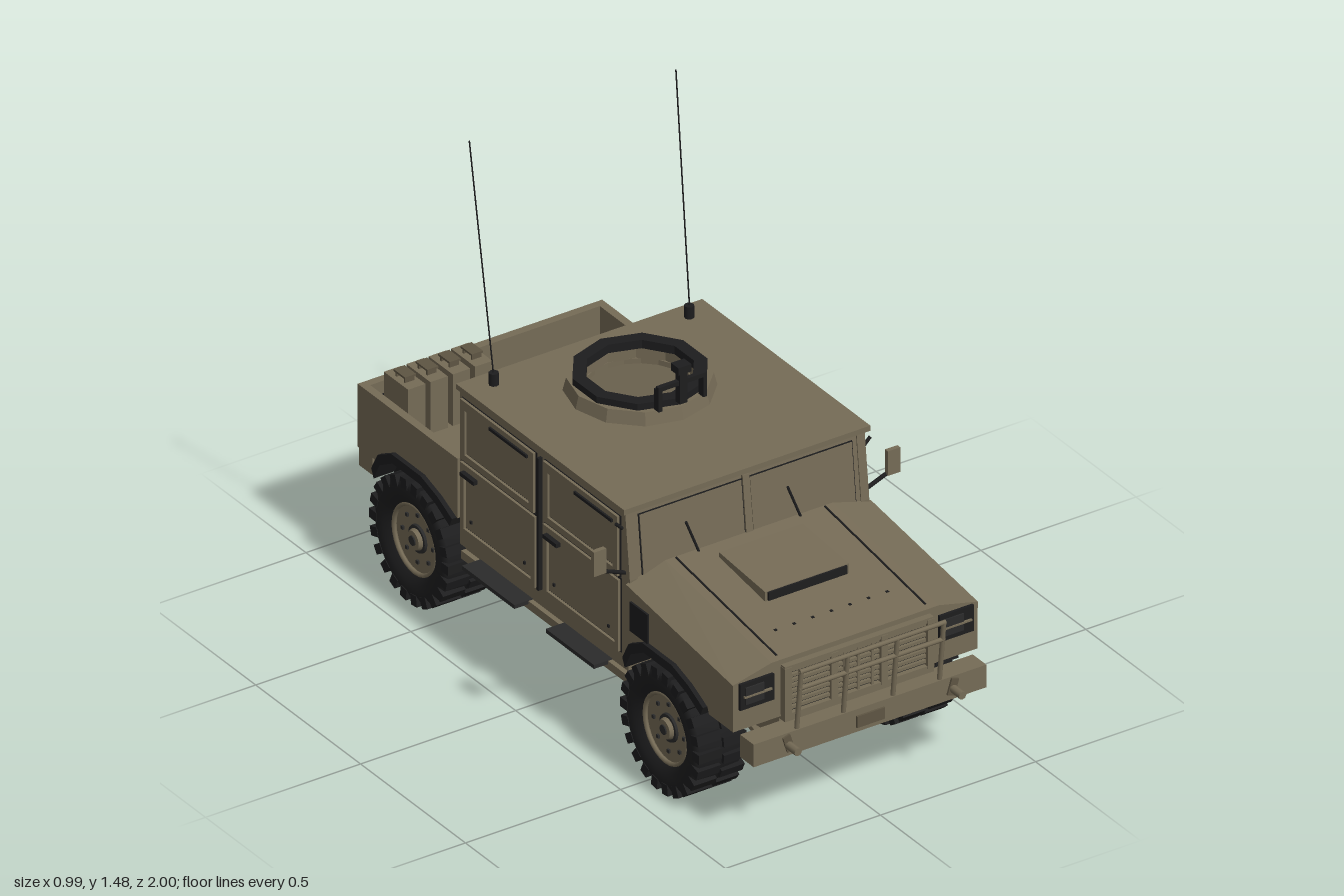
import * as THREE from 'three';

const mat = (name, color) => Object.assign(new THREE.MeshStandardMaterial({ color, side: THREE.DoubleSide }), { name });
const tan = mat('drab paint', 0x756b56);
const shade = mat('dark drab', 0x5e5543);
const black = mat('black rubber', 0x1d1d1e);
const grey = mat('dark metal', 0x2b2b2b);

export function createModel() {
  const root = new THREE.Group();
  root.name = 'truck';

  const add = (name, geo, m, parent = root) => {
    const mesh = new THREE.Mesh(geo, m);
    mesh.name = name;
    parent.add(mesh);
    return mesh;
  };
  // box given by its min/max on each axis
  const box = (name, m, x0, x1, y0, y1, z0, z1, parent) => {
    const g = new THREE.BoxGeometry(x1 - x0, y1 - y0, z1 - z0);
    g.translate((x0 + x1) / 2, (y0 + y1) / 2, (z0 + z1) / 2);
    return add(name, g, m, parent);
  };
  // the same box on both sides
  const pair = (name, m, x0, x1, ...r) => {
    box(name, m, x0, x1, ...r);
    box(name, m, -x1, -x0, ...r);
  };
  // round bar between two points
  const rod = (name, m, a, b, r, parent, n = 8) => {
    const p = new THREE.Vector3(...a), q = new THREE.Vector3(...b);
    const mesh = add(name, new THREE.CylinderGeometry(r, r, p.distanceTo(q), n), m, parent);
    mesh.position.copy(p).lerp(q, 0.5);
    mesh.quaternion.setFromUnitVectors(new THREE.Vector3(0, 1, 0), q.sub(p).normalize());
    return mesh;
  };
  const rectPath = (z0, z1, y0, y1) => [[z0, y0], [z1, y0], [z1, y1], [z0, y1]].map(p => new THREE.Vector2(...p));
  // (z, y) outline extruded from x0 to x1, made for both sides
  const sidePlate = (name, m, x0, x1, pts, holes = []) => {
    const shape = new THREE.Shape(pts.map(p => (p.isVector2 ? p : new THREE.Vector2(...p))));
    holes.forEach(h => shape.holes.push(new THREE.Path(h)));
    for (const x of [x1, -x0]) {
      const g = new THREE.ExtrudeGeometry(shape, { depth: x1 - x0, bevelEnabled: false });
      g.rotateY(-Math.PI / 2).translate(x, 0, 0);
      add(name, g, m);
    }
  };
  // solid lofted between two cross-sections [x, y] at different z
  const loft = (name, m, back, zb, front, zf) => {
    const n = back.length, v = [], idx = [];
    back.forEach(p => v.push(p[0], p[1], zb));
    front.forEach(p => v.push(p[0], p[1], zf));
    for (let i = 0; i < n; i++) {
      const j = (i + 1) % n;
      idx.push(i, j, n + j, i, n + j, n + i);
      if (i > 0 && i < n - 1) idx.push(0, i + 1, i, n, n + i, n + i + 1);
    }
    const g = new THREE.BufferGeometry();
    g.setAttribute('position', new THREE.Float32BufferAttribute(v, 3));
    g.setIndex(idx);
    const flat = g.toNonIndexed();
    flat.computeVertexNormals();
    return add(name, flat, m);
  };

  // ---- chassis ----
  box('floor', tan, -0.37, 0.37, 0.24, 0.32, -0.43, 0.37);
  box('frontUnderbody', tan, -0.24, 0.24, 0.24, 0.48, 0.37, 0.87);
  box('rearUnderbody', tan, -0.24, 0.24, 0.25, 0.36, -0.88, -0.43);
  pair('frameRail', shade, 0.17, 0.22, 0.215, 0.25, -0.88, 0.88);
  box('gearboxHousing', tan, -0.04, 0.04, 0.185, 0.25, 0.4, 0.7);
  pair('sill', tan, 0.33, 0.385, 0.225, 0.25, -0.43, 0.37);
  for (const [a, b] of [[0.04, 0.27], [-0.36, -0.11]]) pair('step', grey, 0.34, 0.43, 0.24, 0.252, a, b);

  // ---- nose ----
  const hoodSection = (edge, top) => [[-0.395, edge - 0.02], [0.395, edge - 0.02], [0.395, edge], [0.27, top], [-0.27, top], [-0.395, edge]];
  loft('hood', tan, hoodSection(0.54, 0.577), 0.37, hoodSection(0.475, 0.505), 0.88);
  const arch = [[0.19, 0.35], [0.12, 0.385], [0.04, 0.41], [-0.1, 0.41], [-0.165, 0.375], [-0.195, 0.32]];
  const archAt = c => arch.map(p => [p[0] + c, p[1]]);
  sidePlate('frontFender', tan, 0.24, 0.394, [[0.37, 0.54], [0.88, 0.475], [0.88, 0.33], [0.765, 0.33], ...archAt(0.567)]);
  for (const c of [0.567, -0.63])
    sidePlate('wheelFlare', black, 0.3, 0.408, [...archAt(c), ...archAt(c).reverse().map(([z, y]) => [z + (c - z) * 0.06, y - 0.027])]);
  pair('sideVent', black, 0.394, 0.4, 0.41, 0.5, 0.395, 0.48);
  for (const s of [-1, 1]) rod('hoodSeam', black, [s * 0.24, 0.577, 0.38], [s * 0.24, 0.508, 0.86], 0.003);
  for (let i = 0; i < 7; i++) box('hoodRivet', black, i * 0.06 - 0.184, i * 0.06 - 0.176, 0.518, 0.523, 0.762, 0.77);
  const sec = (w, a, b) => [[-w, a], [w, a], [w, b], [-w, b]];
  loft('hoodScoop', tan, sec(0.135, 0.555, 0.583), 0.43, sec(0.135, 0.52, 0.567), 0.65);
  box('scoopGrille', black, -0.127, 0.127, 0.54, 0.565, 0.648, 0.656);

  // ---- grille ----
  box('grilleBack', black, -0.22, 0.22, 0.34, 0.48, 0.87, 0.885);
  box('grilleTop', tan, -0.24, 0.24, 0.475, 0.49, 0.87, 0.9);
  box('grilleBottom', tan, -0.24, 0.24, 0.32, 0.342, 0.87, 0.9);
  for (const x of [-0.23, -0.08, 0.08, 0.23]) box('grillePost', tan, x - 0.011, x + 0.011, 0.335, 0.485, 0.87, 0.902);
  for (let i = 0; i < 8; i++) box('grilleSlat', tan, -0.225, 0.225, 0.35 + i * 0.0165, 0.359 + i * 0.0165, 0.88, 0.894);
  for (let i = -1; i < 2; i++) box('grilleRib', tan, i * 0.045 - 0.004, i * 0.045 + 0.004, 0.34, 0.48, 0.88, 0.897);
  for (const s of [-1, 1]) {
    const lamp = new THREE.Group();
    lamp.name = 'headlight';
    root.add(lamp);
    lamp.position.x = s * 0.322;
    box('lampHousing', black, -0.055, 0.055, 0.395, 0.475, 0.87, 0.889, lamp);
    box('lampLens', grey, -0.04, 0.02, 0.41, 0.462, 0.885, 0.893, lamp);
    box('lampBar', tan, -0.045, 0.045, 0.432, 0.437, 0.888, 0.896, lamp);
  }

  // ---- front bumper and brush guard ----
  box('frontBumper', tan, -0.375, 0.375, 0.25, 0.32, 0.885, 0.95);
  loft('skidPlate', tan, sec(0.24, 0.22, 0.24), 0.72, sec(0.3, 0.25, 0.26), 0.9);
  box('winch', shade, -0.045, 0.045, 0.265, 0.3, 0.95, 0.956);
  for (const x of [-0.23, -0.08, 0.08, 0.23]) rod('guardPost', tan, [x, 0.31, 0.94], [x, 0.505, 0.962], 0.007);
  for (const [y, z] of [[0.505, 0.962], [0.45, 0.956]]) rod('guardRail', tan, [-0.235, y, z], [0.235, y, z], 0.007);
  for (const s of [-1, 1]) {
    rod('towHook', tan, [s * 0.265, 0.285, 0.94], [s * 0.265, 0.285, 1], 0.012);
    const b = box('bumperBracket', shade, -0.012, 0.012, -0.025, 0.025, 0, 0.008);
    b.position.set(s * 0.265, 0.29, 0.948);
    b.rotation.z = -s * 0.3;
  }

  // ---- cab ----
  sidePlate('cabSide', tan, 0.36, 0.386, [[-0.435, 0.27], [0.37, 0.27], [0.376, 0.55], [0.353, 0.755], [-0.435, 0.755]]);
  box('cabBack', tan, -0.386, 0.386, 0.3, 0.755, -0.435, -0.41);
  box('rearWindow', shade, -0.17, 0.17, 0.6, 0.69, -0.439, -0.434);
  box('firewall', tan, -0.36, 0.36, 0.3, 0.55, 0.35, 0.37);
  for (const [a, b, win] of [[-0.025, 0.335, 0.34], [-0.42, -0.065, -0.065]]) {
    const z0 = a, z1 = b;
    sidePlate('doorGap', black, 0.386, 0.388, rectPath(z0 - 0.004, z1 + 0.004, 0.311, 0.54));
    sidePlate('doorPanel', tan, 0.386, 0.396, rectPath(z0, z1, 0.315, 0.535), [rectPath(z0 + 0.018, z1 - 0.018, 0.335, 0.515)]);
    sidePlate('doorInset', tan, 0.386, 0.391, rectPath(z0 + 0.022, z1 - 0.022, 0.339, 0.511));
    sidePlate('windowGap', black, 0.386, 0.388, rectPath(z0 - 0.002, z1, 0.542, 0.732));
    sidePlate('windowFrame', tan, 0.386, 0.396, rectPath(z0, z1 - 0.005, 0.545, 0.73), [rectPath(z0 + 0.022, z1 - 0.027, 0.565, 0.702)]);
    sidePlate('sideWindow', tan, 0.386, 0.39, rectPath(z0 + 0.024, z1 - 0.03, 0.568, 0.7));
    sidePlate('doorHandle', black, 0.396, 0.41, rectPath(z0 + 0.02, z0 + 0.085, 0.505, 0.517));
    sidePlate('rainStrip', black, 0.396, 0.402, rectPath(win - 0.21, win - 0.03, 0.705, 0.714));
    for (const z of [z0 + 0.05, z1 - 0.05]) sidePlate('doorBolt', black, 0.391, 0.396, rectPath(z - 0.004, z + 0.004, 0.365, 0.373));
  }
  sidePlate('hingePost', black, 0.386, 0.4, rectPath(-0.049, -0.04, 0.32, 0.73));

  // windshield, leaning back
  const shield = new THREE.Group();
  shield.name = 'windshield';
  shield.position.set(0, 0.535, 0.374);
  shield.rotation.x = -0.11;
  root.add(shield);
  box('shieldFrame', tan, -0.386, 0.386, 0, 0.222, -0.02, 0, shield);
  for (const s of [-1, 1]) {
    const x = s * 0.178;
    box('glassSeal', black, x - 0.167, x + 0.167, 0.012, 0.2, 0, 0.003, shield);
    box('glassPane', tan, x - 0.164, x + 0.164, 0.015, 0.197, 0, 0.005, shield);
    const wx = s * 0.165 + (s < 0 ? 0 : -0.002);
    rod('wiper', black, [wx, 0.03, 0.012], [wx - 0.037, 0.135, 0.012], 0.004, shield);
  }
  box('shieldMiddle', tan, -0.011, 0.011, 0, 0.21, -0.01, 0.008, shield);

  // roof with the round hatch opening
  const roof = new THREE.Shape([[-0.397, -0.365], [0.397, -0.365], [0.397, 0.437], [-0.397, 0.437]].map(p => new THREE.Vector2(...p)));
  roof.holes.push(new THREE.Path().absarc(0, 0.15, 0.15, 0, Math.PI * 2, true));
  add('roof', new THREE.ExtrudeGeometry(roof, { depth: 0.016, bevelEnabled: false, curveSegments: 10 }).rotateX(-Math.PI / 2).translate(0, 0.752, 0), tan);

  // ---- turret ring and mount ----
  const ring = (name, m, pts, n) => {
    const g = new THREE.LatheGeometry(pts.map(p => new THREE.Vector2(...p)), n).toNonIndexed();
    g.computeVertexNormals();
    add(name, g, m).position.set(0, 0, -0.147);
  };
  ring('turretBase', tan, [[0.155, 0.766], [0.208, 0.766], [0.198, 0.806], [0.155, 0.806], [0.155, 0.766]], 12);
  ring('turretRing', black, [[0.15, 0.8], [0.188, 0.8], [0.188, 0.826], [0.15, 0.826], [0.15, 0.8]], 10);
  box('mountPost', black, -0.012, 0.012, 0.82, 0.92, 0.04, 0.062);
  box('mountHead', black, -0.021, 0.021, 0.915, 0.938, 0.032, 0.068);
  box('mountBar', black, -0.078, 0.078, 0.877, 0.89, 0.044, 0.058);
  pair('mountLeg', black, 0.066, 0.078, 0.815, 0.88, 0.035, 0.058);

  // ---- antennas and mirrors ----
  for (const s of [-1, 1]) {
    rod('antennaBase', black, [s * 0.315, 0.765, -0.378], [s * 0.315, 0.805, -0.378], 0.014);
    rod('antenna', black, [s * 0.316, 0.8, -0.378], [s * 0.333, 1.485, -0.468], 0.0022, root, 5);
    rod('mirrorArm', black, [s * 0.385, 0.565, 0.352], [s * 0.475, 0.6, 0.352], 0.006);
    box('mirrorShell', tan, s * 0.474 - 0.02, s * 0.474 + 0.02, 0.592, 0.668, 0.35, 0.364);
    box('mirrorGlass', black, s * 0.474 - 0.017, s * 0.474 + 0.017, 0.596, 0.664, 0.346, 0.351);
    rod('mirrorBrace', black, [s * 0.39, 0.7, 0.345], [s * 0.41, 0.72, 0.345], 0.005);
  }

  // ---- cargo bed ----
  sidePlate('bedSide', tan, 0.37, 0.394, [[-0.435, 0.535], [-0.435, 0.35], ...archAt(-0.63).slice(1), [-0.83, 0.34], [-0.905, 0.34], [-0.905, 0.535]]);
  box('bedFloor', tan, -0.37, 0.37, 0.395, 0.42, -0.89, -0.43);
  box('tailgate', tan, -0.394, 0.394, 0.34, 0.535, -0.91, -0.885);
  box('tailgateSeam', black, -0.28, 0.28, 0.43, 0.434, -0.913, -0.909);
  for (const s of [-1, 1]) {
    for (const x of [0.345, 0.3]) box('tailLight', black, s * x - 0.016, s * x + 0.016, 0.45, 0.49, -0.922, -0.909);
    box('gateLatch', black, s * 0.22 - 0.008, s * 0.22 + 0.008, 0.4, 0.43, -0.925, -0.909);
  }
  box('cargoBox', grey, 0.02, 0.31, 0.42, 0.515, -0.69, -0.5);
  box('cargoBoxLid', black, 0.015, 0.315, 0.515, 0.53, -0.695, -0.495);
  rod('bedroll', tan, [0.035, 0.455, -0.775], [0.335, 0.455, -0.775], 0.036, root, 14);
  box('canRack', black, -0.375, -0.085, 0.42, 0.5, -0.88, -0.855);
  for (let i = 0; i < 4; i++) {
    const x = -0.315 + i * 0.072;
    box('fuelCan', tan, x - 0.028, x + 0.028, 0.42, 0.58, -0.86, -0.745);
    box('canHandle', shade, x - 0.018, x + 0.018, 0.594, 0.6, -0.83, -0.775);
    for (const z of [-0.825, -0.785]) box('canHandlePost', shade, x - 0.015, x + 0.015, 0.578, 0.595, z, z + 0.006);
  }
  box('rearBumper', tan, -0.36, 0.36, 0.25, 0.315, -0.955, -0.89);
  box('hitch', black, -0.02, 0.02, 0.255, 0.285, -1, -0.95);
  pair('rearShackle', black, 0.215, 0.23, 0.26, 0.3, -0.975, -0.95);
  pair('bumperMount', black, 0.25, 0.34, 0.29, 0.325, -0.89, -0.78);

  // ---- wheels and suspension ----
  const tireProfile = [[0.1, -0.055], [0.125, -0.074], [0.158, -0.076], [0.176, -0.066], [0.179, 0], [0.176, 0.066], [0.158, 0.076], [0.125, 0.074], [0.1, 0.055]];
  const makeWheel = () => {
    const w = new THREE.Group();
    w.name = 'wheel';
    const disc = (name, m, r0, r1, y0, y1) => add(name, new THREE.CylinderGeometry(r1, r0, y1 - y0, 24).translate(0, (y0 + y1) / 2, 0).rotateZ(-Math.PI / 2), m, w);
    add('tire', new THREE.LatheGeometry(tireProfile.map(p => new THREE.Vector2(...p)), 32).rotateZ(-Math.PI / 2), black, w);
    disc('rim', tan, 0.106, 0.106, -0.04, 0.045);
    add('rimLip', new THREE.TorusGeometry(0.102, 0.007, 6, 28).rotateY(Math.PI / 2).translate(0.055, 0, 0), tan, w);
    disc('hubRing', grey, 0.042, 0.04, 0.045, 0.052);
    disc('hub', tan, 0.034, 0.028, 0.045, 0.064);
    disc('hubCap', grey, 0.015, 0.014, 0.06, 0.068);
    for (let i = 0; i < 8; i++) {
      const a = i * Math.PI / 4;
      box('wheelNut', grey, 0.044, 0.051, -0.005, 0.005, -0.005, 0.005, w).position.set(0, Math.cos(a) * 0.072, Math.sin(a) * 0.072);
    }
    // staggered tread lugs
    for (let i = 0; i < 44; i++) {
      const s = i % 2 ? 1 : -1;
      const lug = box('treadLug', black, s > 0 ? 0.004 : -0.078, s > 0 ? 0.078 : -0.004, 0.155, 0.188, -0.014, 0.014, w);
      lug.rotation.x = i * Math.PI / 22;
    }
    return w;
  };
  for (const z of [0.567, -0.63]) {
    for (const s of [-1, 1]) {
      const w = makeWheel();
      w.position.set(s * 0.342, 0.19, z);
      if (s < 0) w.rotation.y = Math.PI;
      root.add(w);
      for (const dz of [-0.08, 0.08]) rod('lowerArm', tan, [s * 0.12, 0.215, z + dz], [s * 0.29, 0.145, z], 0.011);
      rod('upperArm', tan, [s * 0.16, 0.25, z], [s * 0.29, 0.225, z], 0.01);
      rod('driveShaft', grey, [s * 0.05, 0.22, z], [s * 0.3, 0.19, z], 0.012);
      rod('shock', black, [s * 0.2, 0.3, z + 0.03], [s * 0.25, 0.16, z + 0.01], 0.016);
      rod('brakeHub', grey, [s * 0.255, 0.19, z], [s * 0.31, 0.19, z], 0.06, root, 16);
    }
    box('differential', shade, -0.07, 0.07, 0.2, 0.26, z - 0.06, z + 0.06);
  }
  return root;
}
